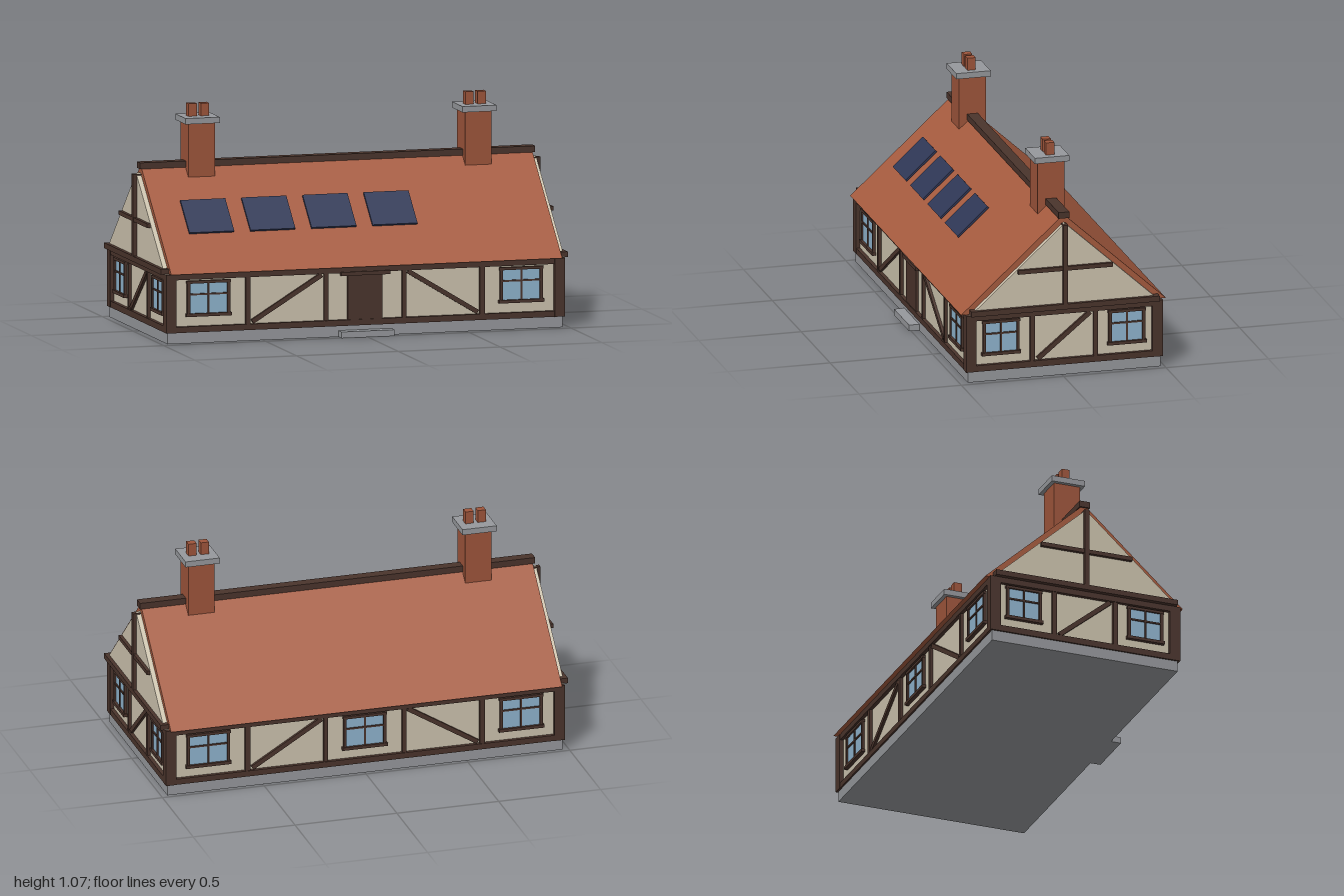
import * as THREE from 'three';

const mat = (name, color) => {
  const m = new THREE.MeshStandardMaterial({ color });
  m.name = name;
  return m;
};

export function createModel() {
  const stone = mat('stone', 0x96989c);
  const plaster = mat('plaster', 0xcdc3ae);
  const timber = mat('timber', 0x4a342c);
  const tile = mat('roofTile', 0xa65b3f);
  const brick = mat('brick', 0x9e553b);
  const glass = mat('glass', 0x8fb4ce);
  const solar = mat('solarPanel', 0x2f3756);

  const model = new THREE.Group();
  model.name = 'cottage';
  const house = new THREE.Group();
  house.name = 'house';
  house.position.z = -0.01;
  model.add(house);

  const add = (parent, name, geo, material) => {
    const m = new THREE.Mesh(geo, material);
    m.name = name;
    parent.add(m);
    return m;
  };
  // Box given by its minimum and maximum corners
  const box = (parent, name, material, x0, x1, y0, y1, z0, z1) => {
    const m = add(parent, name, new THREE.BoxGeometry(x1 - x0, y1 - y0, z1 - z0), material);
    m.position.set((x0 + x1) / 2, (y0 + y1) / 2, (z0 + z1) / 2);
    return m;
  };
  // Triangular prism running along x
  const prism = (name, material, halfWidth, y0, y1, halfLength) => {
    const s = new THREE.Shape();
    s.moveTo(-halfWidth, y0);
    s.lineTo(halfWidth, y0);
    s.lineTo(0, y1);
    s.closePath();
    const g = new THREE.ExtrudeGeometry(s, { depth: halfLength * 2, bevelEnabled: false });
    g.translate(0, 0, -halfLength).rotateY(Math.PI / 2);
    return add(house, name, g, material);
  };
  // Wall group: local x runs along the wall, local z points outwards
  const wall = (name, angle) => {
    const g = new THREE.Group();
    g.name = name;
    g.rotation.y = angle;
    house.add(g);
    return g;
  };
  const brace = (g, x0, y0, x1, y1, d) => {
    const len = Math.hypot(x1 - x0, y1 - y0);
    const m = add(g, 'diagonalBrace', new THREE.BoxGeometry(len, 0.022, 0.013), timber);
    m.position.set((x0 + x1) / 2, (y0 + y1) / 2, d + 0.0065);
    m.rotation.z = Math.atan2(y1 - y0, x1 - x0);
  };
  const windowAt = (g, x, hw, d) => {
    const w = new THREE.Group();
    w.name = 'window';
    w.position.set(x, 0, d);
    g.add(w);
    box(w, 'windowGlass', glass, -hw, hw, 0.135, 0.29, 0, 0.006);
    for (const s of [-1, 1]) box(w, 'windowJamb', timber, s * hw - 0.007, s * hw + 0.007, 0.13, 0.292, 0, 0.014);
    box(w, 'windowSill', timber, -hw - 0.013, hw + 0.013, 0.126, 0.141, 0, 0.019);
    box(w, 'windowHead', timber, -hw - 0.01, hw + 0.01, 0.283, 0.296, 0, 0.015);
    box(w, 'mullion', timber, -0.004, 0.004, 0.14, 0.285, 0, 0.012);
    box(w, 'transom', timber, -hw, hw, 0.227, 0.235, 0, 0.012);
  };

  // Base and walls
  box(house, 'plinth', stone, -0.97, 0.97, 0, 0.052, -0.47, 0.47);
  box(house, 'walls', plaster, -0.96, 0.96, 0.052, 0.33, -0.46, 0.46);
  box(house, 'doorStep', stone, -0.13, 0.13, 0, 0.03, 0.46, 0.52);
  for (const x of [-1, 1]) for (const z of [-1, 1]) {
    const p = box(house, 'cornerPost', timber, -0.025, 0.025, 0.052, 0.33, -0.0255, 0.0255);
    p.position.x = x * 0.954;
    p.position.z = z * 0.4545;
  }

  // Long walls: front with a door, back with a middle window
  [['frontWall', 0], ['backWall', Math.PI]].forEach(([name, angle], i) => {
    const g = wall(name, angle);
    const d = 0.46;
    box(g, 'sillBeam', timber, -0.93, 0.93, 0.052, 0.08, d, d + 0.018);
    box(g, 'wallPlate', timber, -0.93, 0.93, 0.303, 0.33, d, d + 0.018);
    for (const s of [-1, 1]) {
      box(g, 'post', timber, s * 0.575 - 0.012, s * 0.575 + 0.012, 0.08, 0.303, d, d + 0.015);
      box(g, 'post', timber, s * 0.192 - 0.01, s * 0.192 + 0.01, 0.08, 0.303, d, d + 0.015);
      brace(g, s * 0.553, 0.09, s * 0.212, 0.298, d);
      windowAt(g, s * 0.768, 0.098, d);
    }
    if (i === 0) {
      box(g, 'door', timber, -0.085, 0.085, 0.052, 0.295, d, d + 0.014);
      box(g, 'doorLintel', timber, -0.12, 0.12, 0.29, 0.308, d, d + 0.025);
    } else windowAt(g, 0, 0.098, d);
  });

  // End walls with timbered gables
  [['leftGable', Math.PI / 2], ['rightGable', -Math.PI / 2]].forEach(([name, angle]) => {
    const g = wall(name, angle);
    const d = 0.96;
    box(g, 'sillBeam', timber, -0.43, 0.43, 0.052, 0.082, d, d + 0.018);
    box(g, 'wallPlate', timber, -0.43, 0.43, 0.302, 0.33, d, d + 0.018);
    for (const s of [-1, 1]) {
      box(g, 'post', timber, s * 0.154 - 0.011, s * 0.154 + 0.011, 0.08, 0.303, d, d + 0.015);
      windowAt(g, s * 0.307, 0.082, d);
    }
    brace(g, -0.128, 0.088, 0.128, 0.298, d);
    box(g, 'tieBeam', timber, -0.46, 0.46, 0.33, 0.356, d, 1);
    box(g, 'kingPost', timber, -0.012, 0.012, 0.356, 0.745, d, 1);
    box(g, 'collarBeam', timber, -0.23, 0.23, 0.52, 0.54, d, 0.998);
  });

  // Roof, gable infill and ridge
  prism('roof', tile, 0.5, 0.332, 0.787, 0.96);
  prism('gableInfill', plaster, 0.462, 0.331, 0.75, 0.982);
  box(house, 'ridgeBeam', timber, -0.97, 0.97, 0.77, 0.8, -0.026, 0.026);

  // Chimneys
  for (const s of [-1, 1]) {
    const c = new THREE.Group();
    c.name = 'chimney';
    c.position.x = s * 0.68;
    house.add(c);
    box(c, 'chimneyStack', brick, -0.065, 0.065, 0.6, 0.982, -0.065, 0.065);
    box(c, 'chimneyCap', stone, -0.084, 0.084, 0.982, 1.01, -0.084, 0.084);
    for (const p of [-0.03, 0.03]) box(c, 'chimneyPot', brick, p - 0.02, p + 0.02, 1.01, 1.07, -0.02, 0.02);
  }

  // Solar panels standing just off the front slope
  for (let i = 0; i < 4; i++) {
    const p = add(house, 'solarPanel', new THREE.BoxGeometry(0.22, 0.01, 0.2), solar);
    p.position.set(-0.71 + i * 0.3, 0.568, 0.255);
    p.rotation.x = Math.atan2(0.455, 0.5);
  }
  return model;
}
